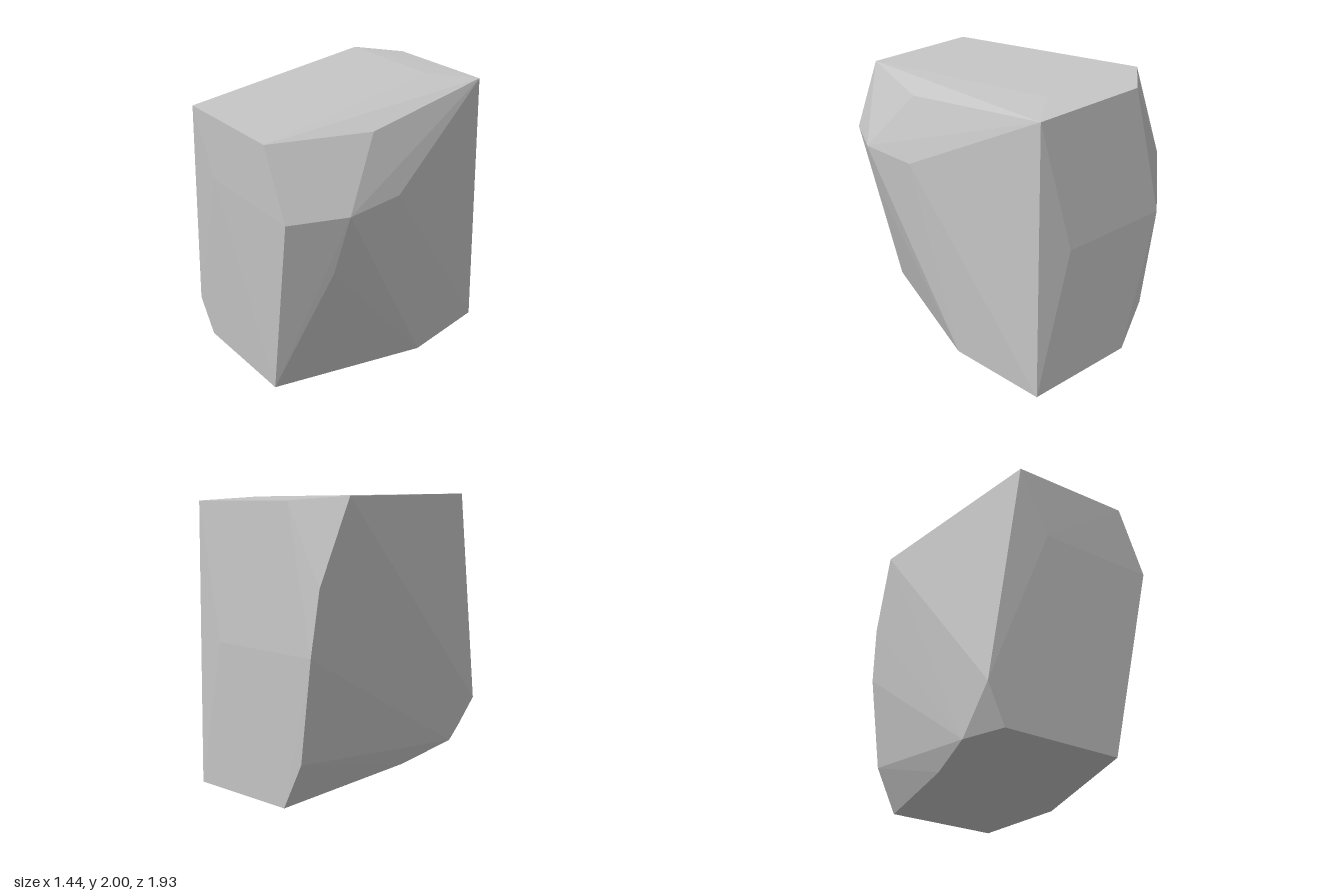
import * as THREE from 'three';
import { ConvexGeometry } from 'three/addons/geometries/ConvexGeometry.js';

// A faceted boulder: the convex skin around its chipped corners.
export function createModel() {
  const group = new THREE.Group();
  group.name = 'boulder';

  const stone = new THREE.MeshStandardMaterial({ color: 0xc4c4c4, flatShading: true });
  stone.name = 'stone grey';

  const corners = [
    // front face outline and its slight bulge
    [-0.38, 1.91, 0.965], [0.41, 1.86, 0.92], [0.59, 1.40, 0.905],
    [0.32, 0.07, 0.86], [-0.46, 0.12, 0.90], [-0.58, 0.38, 0.92],
    [-0.18, 1.46, 0.95],
    // chipped upper corner and belly of the left side
    [0.52, 1.82, 0.19], [0.72, 1.40, 0.52], [0.64, 1.40, 0.07],
    [0.612, 0.98, 0.57],
    // top
    [-0.72, 2.00, -0.61], [0.06, 1.955, -0.65],
    [-0.47, 1.975, -0.88], [0.32, 1.93, -0.92],
    // back, down its right edge to the ground
    [-0.715, 1.48, -0.86], [-0.70, 1.07, -0.92], [-0.61, 0.38, -0.92],
    [0.09, 1.04, -0.965], [0.33, 0, -0.965], [-0.46, 0.05, -0.93],
    // underside
    [-0.595, 0.12, 0.61], [-0.545, 0.06, 0.13],
    [0.50, 0.03, -0.27], [0.20, 0.01, 0.10],
  ].map((p) => new THREE.Vector3(...p));

  const rock = new THREE.Mesh(new ConvexGeometry(corners), stone);
  rock.name = 'rock';
  group.add(rock);
  return group;
}
